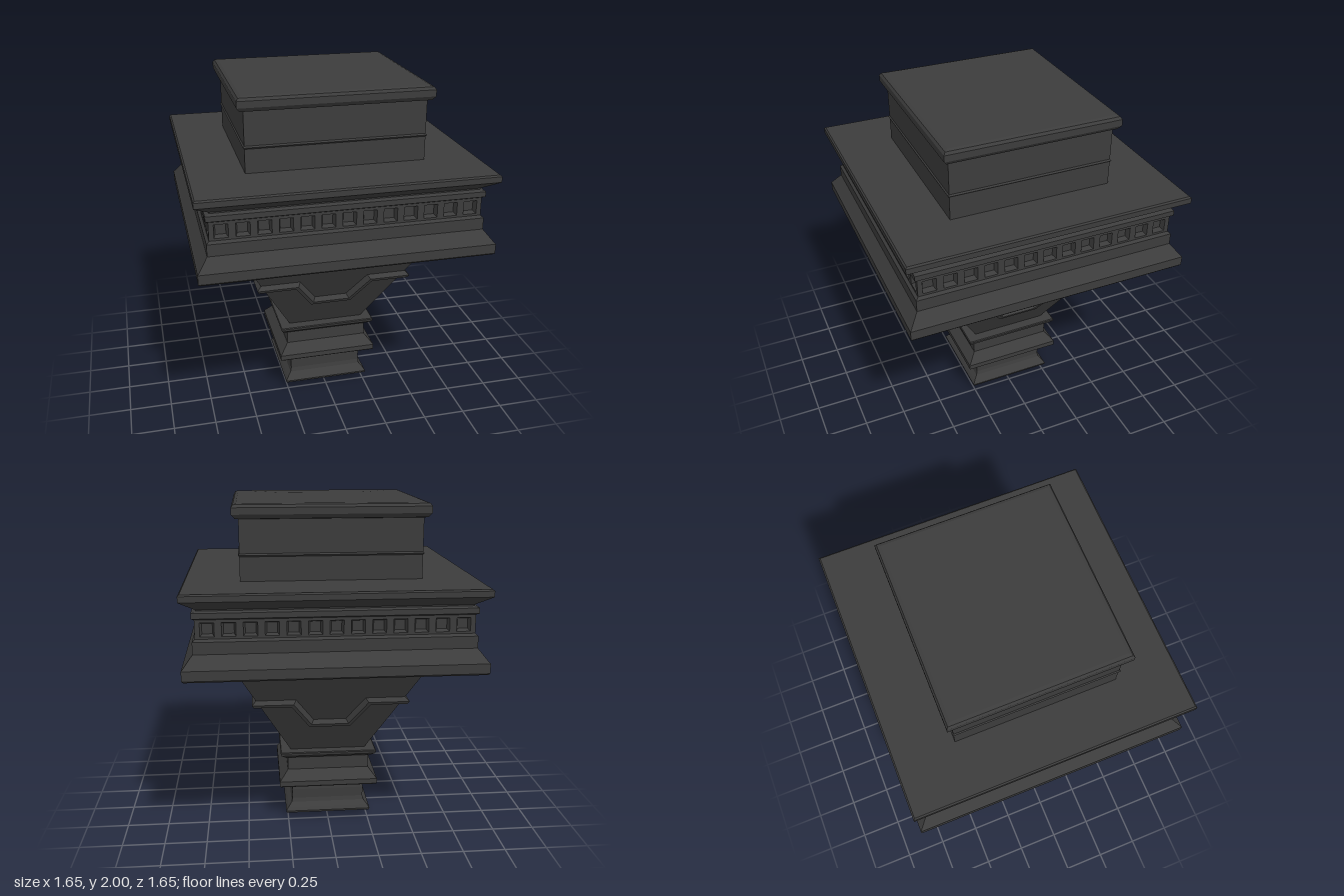
import * as THREE from 'three';
import { mergeGeometries } from 'three/addons/utils/BufferGeometryUtils.js';

const material = new THREE.MeshStandardMaterial({ color: 0x3c3c3c, flatShading: true });
const openMaterial = new THREE.MeshStandardMaterial({ color: 0x3c3c3c, flatShading: true, side: THREE.DoubleSide });

function buildGeometry(positions) {
  const g = new THREE.BufferGeometry();
  g.setAttribute('position', new THREE.Float32BufferAttribute(positions, 3));
  g.computeVertexNormals();
  return g;
}

// Stack of rectangles: profile rows are [half width, y], bottom to top; dz narrows the depth
function loft(name, profile, dz = 0) {
  const rings = profile.map(([h, y]) =>
    [[1, 1], [1, -1], [-1, -1], [-1, 1]].map(([sx, sz]) => [sx * h, y, sz * (h - dz)]));
  const pos = [];
  const quad = (a, b, c, d) => pos.push(...a, ...b, ...c, ...a, ...c, ...d);
  for (let r = 0; r < rings.length - 1; r++) {
    for (let i = 0; i < 4; i++) {
      const j = (i + 1) % 4;
      quad(rings[r][i], rings[r][j], rings[r + 1][j], rings[r + 1][i]);
    }
  }
  const [b, t] = [rings[0], rings[rings.length - 1]];
  quad(b[3], b[2], b[1], b[0]);
  quad(t[0], t[1], t[2], t[3]);
  const mesh = new THREE.Mesh(buildGeometry(pos), material);
  mesh.name = name;
  return mesh;
}

// Half width of the sloping funnel at a height
const funnelHalf = (y) => 0.23 + (y - 0.465) * 0.528;

// Zigzag moulding lying on the +z slope of the funnel, mitred at the corners
function zigzagGeometry() {
  const half = [[null, 0.86, null, 0.82], [0.205, 0.86, 0.232, 0.82], [0.097, 0.705, 0.122, 0.662]];
  const stations = [
    ...half.map((p) => [-1, ...p]),
    ...half.slice().reverse().map((p) => [1, ...p]),
  ];
  const section = [[1, -0.01], [1, 0.035], [0.55, 0.035], [0, 0]]; // [blend top to bottom, offset]
  const rows = stations.map(([side, xu, yu, xl, yl]) => section.map(([t, offset]) => {
    const y = yu + (yl - yu) * t;
    const z = funnelHalf(y) + offset;
    const x = xu === null ? z : xu + (xl - xu) * t;
    return [side * x, y, z];
  }));
  const pos = [];
  for (let s = 0; s < rows.length - 1; s++) {
    for (let k = 0; k < 3; k++) {
      const [a, b, c, d] = [rows[s][k], rows[s + 1][k], rows[s + 1][k + 1], rows[s][k + 1]];
      pos.push(...a, ...b, ...c, ...a, ...c, ...d);
    }
  }
  return buildGeometry(pos);
}

// Frieze wall facing +z with a row of square recesses that taper inwards
function friezeGeometry() {
  const w = 0.75, y0 = 1.315, y1 = 1.425, cy = 1.368, outer = 0.038, inner = 0.028, depth = 0.03;
  const wall = new THREE.Shape([[-w, y0], [w, y0], [w, y1], [-w, y1]].map((p) => new THREE.Vector2(...p)));
  const parts = [];
  for (let i = -6; i <= 6; i++) {
    const cx = i * 0.1142;
    wall.holes.push(new THREE.Path([[-1, -1], [-1, 1], [1, 1], [1, -1]]
      .map(([x, y]) => new THREE.Vector2(cx + x * outer, cy + y * outer))));
    const recess = new THREE.CylinderGeometry(outer * Math.SQRT2, inner * Math.SQRT2, depth, 4, 1, true);
    recess.rotateY(Math.PI / 4).rotateX(Math.PI / 2).translate(cx, cy, w - depth / 2);
    parts.push(recess);
  }
  const face = new THREE.ShapeGeometry(wall);
  face.translate(0, 0, w);
  return mergeGeometries([face, ...parts]);
}

function fourSides(name, geometry) {
  const group = new THREE.Group();
  group.name = name;
  for (let i = 0; i < 4; i++) {
    const mesh = new THREE.Mesh(geometry, openMaterial);
    mesh.name = name + 'Side';
    mesh.rotation.y = i * Math.PI / 2;
    group.add(mesh);
  }
  return group;
}

export function createModel() {
  const model = new THREE.Group();
  model.name = 'pendantCorbel';
  model.add(
    loft('bottomFinial', [[0.14, 0], [0.2, 0.02], [0.26, 0.047], [0.264, 0.06], [0.25, 0.08],
      [0.228, 0.105], [0.222, 0.13], [0.224, 0.19], [0.215, 0.25]]),
    loft('collar', [[0.295, 0.24], [0.302, 0.247], [0.302, 0.278], [0.25, 0.34], [0.25, 0.42],
      [0.265, 0.425], [0.29, 0.445], [0.295, 0.462], [0.29, 0.467]]),
    loft('funnel', [[funnelHalf(0.46), 0.46], [funnelHalf(1.11), 1.11]]),
    fourSides('zigzagMoulding', zigzagGeometry()),
    loft('lowerCornice', [[0.815, 1.1], [0.824, 1.11], [0.824, 1.165], [0.815, 1.175], [0.765, 1.238],
      [0.765, 1.305], [0.75, 1.318]]),
    loft('friezeCore', [[0.72, 1.31], [0.72, 1.43]]),
    fourSides('recessedFrieze', friezeGeometry()),
    loft('upperCornice', [[0.75, 1.422], [0.765, 1.43], [0.765, 1.46], [0.742, 1.468], [0.742, 1.475],
      [0.81, 1.52], [0.824, 1.53], [0.824, 1.562], [0.815, 1.57]]),
    // Upper block is a little shallower than it is wide
    loft('upperBlock', [[0.51, 1.56], [0.51, 1.92]], 0.035),
    loft('blockBead', [[0.509, 1.705], [0.517, 1.715], [0.509, 1.725]], 0.035),
    loft('topCap', [[0.51, 1.91], [0.53, 1.915], [0.548, 1.938], [0.548, 1.975], [0.538, 1.99],
      [0.52, 1.996], [0.27, 2]], 0.04),
  );
  return model;
}
